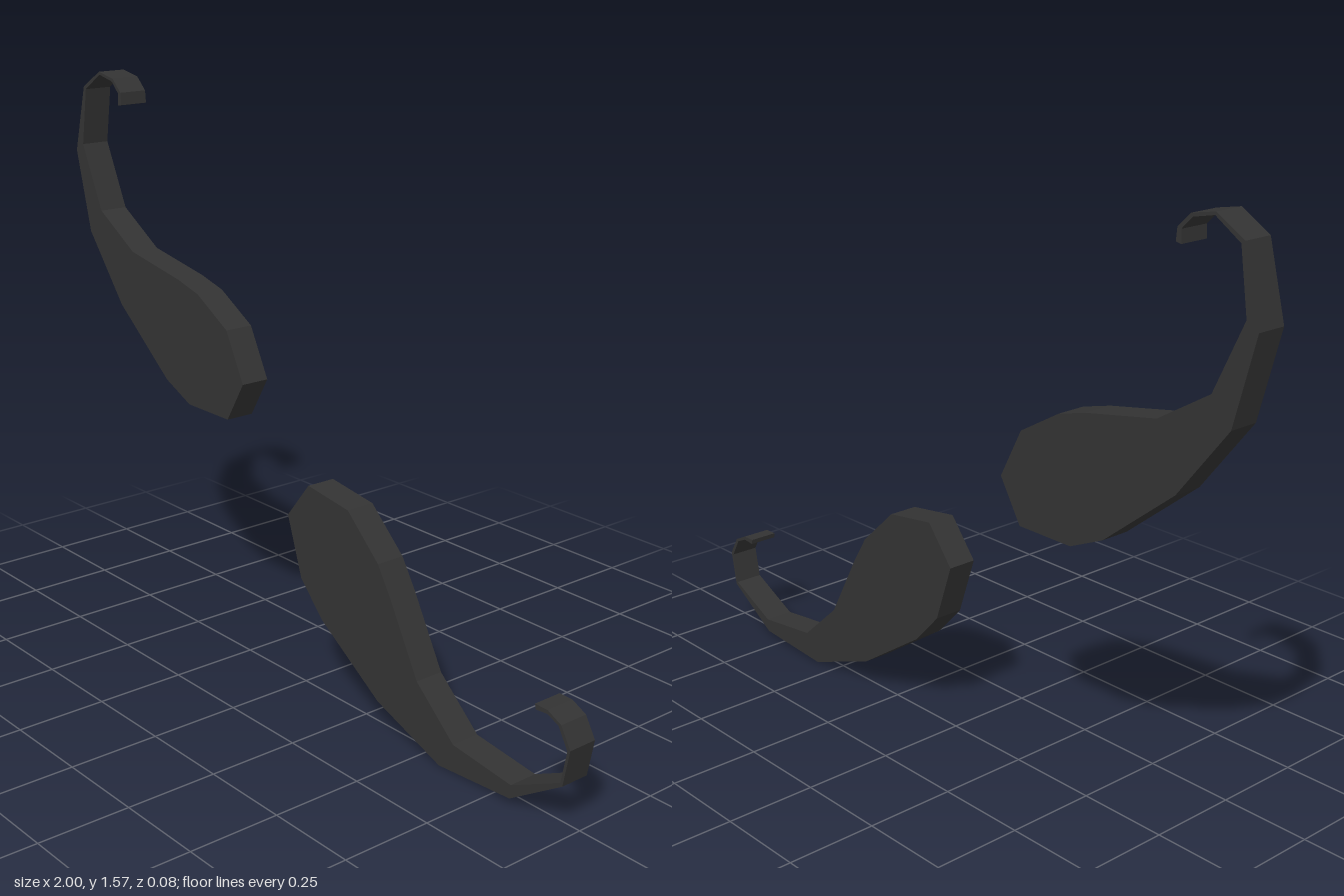
import * as THREE from 'three';

const DEPTH = 0.083;

// Outlines run from the curl tip along the inner edge, around the broad end and back.
const UPPER = [
  [-0.776, 1.487], [-0.774, 1.520], [-0.805, 1.551], [-0.866, 1.564], [-0.940, 1.516],
  [-0.965, 1.356], [-0.880, 1.174], [-0.725, 1.080], [-0.505, 1.040], [-0.415, 1.016],
  [-0.286, 0.941], [-0.216, 0.805], [-0.286, 0.690], [-0.463, 0.690], [-0.570, 0.738],
  [-0.790, 0.914], [-0.940, 1.105], [-1.000, 1.335], [-0.950, 1.523], [-0.868, 1.572],
  [-0.800, 1.559], [-0.763, 1.524], [-0.760, 1.490],
];
const LOWER = [
  [0.885, 0.283], [0.922, 0.286], [0.957, 0.270], [0.987, 0.217], [0.970, 0.130],
  [0.816, 0.056], [0.618, 0.080], [0.484, 0.200], [0.382, 0.388], [0.334, 0.466],
  [0.217, 0.575], [0.060, 0.597], [-0.025, 0.492], [0.030, 0.329], [0.115, 0.238],
  [0.340, 0.088], [0.570, 0.003], [0.813, 0.019], [0.977, 0.123], [0.996, 0.222],
  [0.965, 0.275], [0.922, 0.296], [0.882, 0.297],
];

// Flat plate with straight sides cut from an outline
function plate(name, outline, material) {
  const shape = new THREE.Shape(outline.map(([x, y]) => new THREE.Vector2(x, y)));
  const geometry = new THREE.ExtrudeGeometry(shape, { depth: DEPTH, bevelEnabled: false });
  geometry.translate(0, 0, -DEPTH / 2);
  const mesh = new THREE.Mesh(geometry, material);
  mesh.name = name;
  return mesh;
}

export function createModel() {
  const charcoal = new THREE.MeshStandardMaterial({ color: 0x333333 });
  charcoal.name = 'charcoal';

  const group = new THREE.Group();
  group.name = 'curledMoustache';
  group.add(
    plate('upperMoustacheHalf', UPPER, charcoal),
    plate('lowerMoustacheHalf', LOWER, charcoal),
  );
  return group;
}
